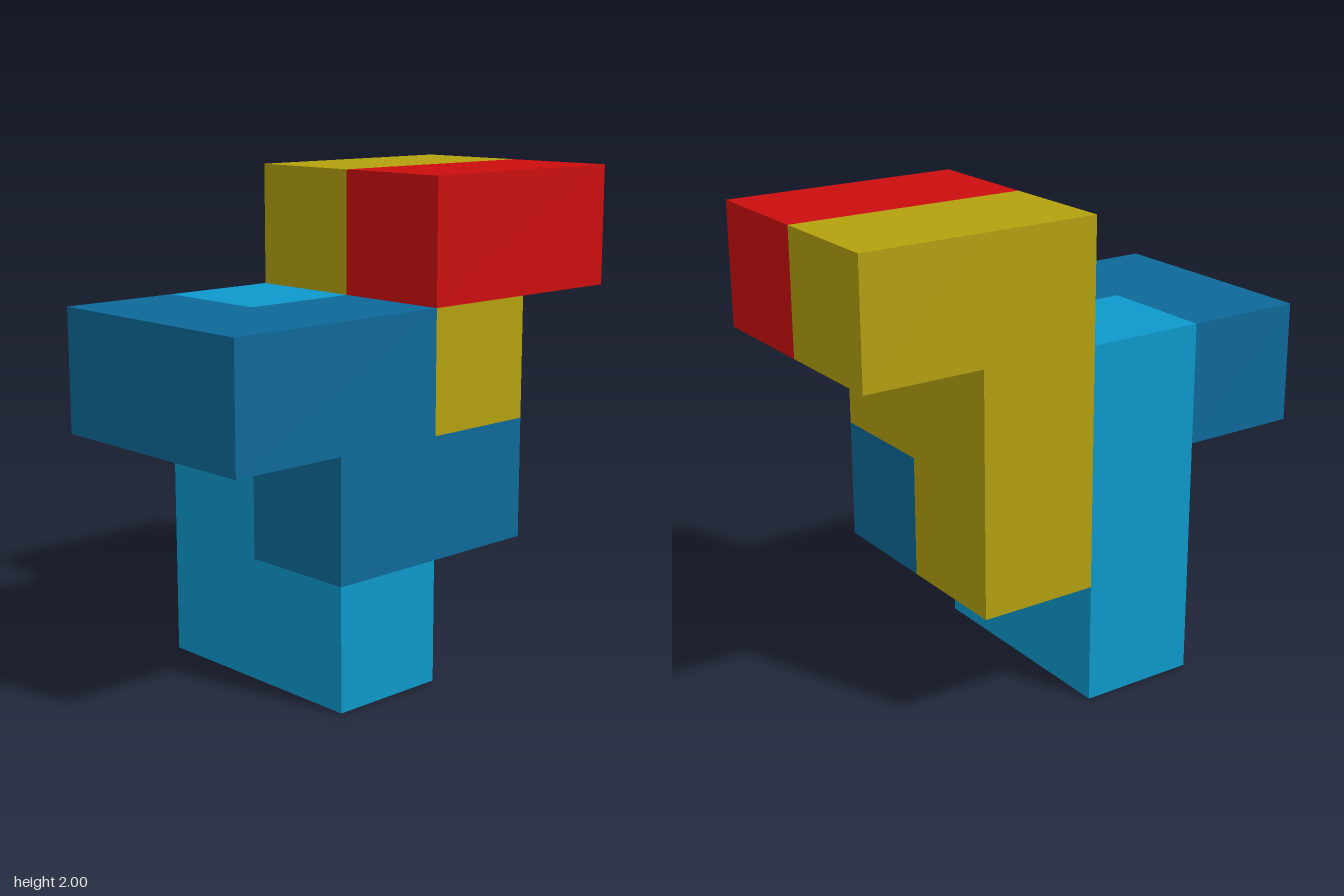
import * as THREE from 'three';

const CELL = 0.5;

function material(name, color) {
  const m = new THREE.MeshStandardMaterial({ color });
  m.name = name;
  return m;
}

// Each bar is [column, row, layer, width, height, depth] in cells;
// columns run from x = -1, rows from the ground, layer 0 is the back, 1 the front.
const PIECES = [
  { name: 'redPiece', color: 0xcb0d0d, bars: [
    [2, 3, 1, 2, 1, 1],
  ] },
  { name: 'yellowPiece', color: 0xb3a00f, bars: [
    [2, 1, 0, 1, 3, 1], // upright at the back
    [3, 3, 0, 1, 1, 1], // top arm
    [2, 2, 1, 1, 1, 1], // front stub
  ] },
  { name: 'darkBluePiece', color: 0x0d6998, bars: [
    [0, 2, 1, 2, 1, 1], // upper front arm
    [1, 1, 1, 2, 1, 1], // lower front arm
    [0, 2, 0, 1, 1, 1], // back stub
  ] },
  { name: 'lightBluePiece', color: 0x0d98cb, bars: [
    [1, 0, 0, 1, 3, 1], // upright at the back
    [1, 0, 1, 1, 1, 1], // foot
  ] },
];

function bar([c, r, l, w, h, d], mat) {
  const mesh = new THREE.Mesh(new THREE.BoxGeometry(w * CELL, h * CELL, d * CELL), mat);
  mesh.position.set((c + w / 2 - 2) * CELL, (r + h / 2) * CELL, (l + d / 2 - 1) * CELL);
  return mesh;
}

export function createModel() {
  const model = new THREE.Group();
  model.name = 'blockPuzzle';
  for (const { name, color, bars } of PIECES) {
    const piece = new THREE.Group();
    piece.name = name;
    const mat = material(name.replace('Piece', ''), color);
    bars.forEach((b, i) => {
      const mesh = bar(b, mat);
      mesh.name = `${name}Bar${i + 1}`;
      piece.add(mesh);
    });
    model.add(piece);
  }
  return model;
}
